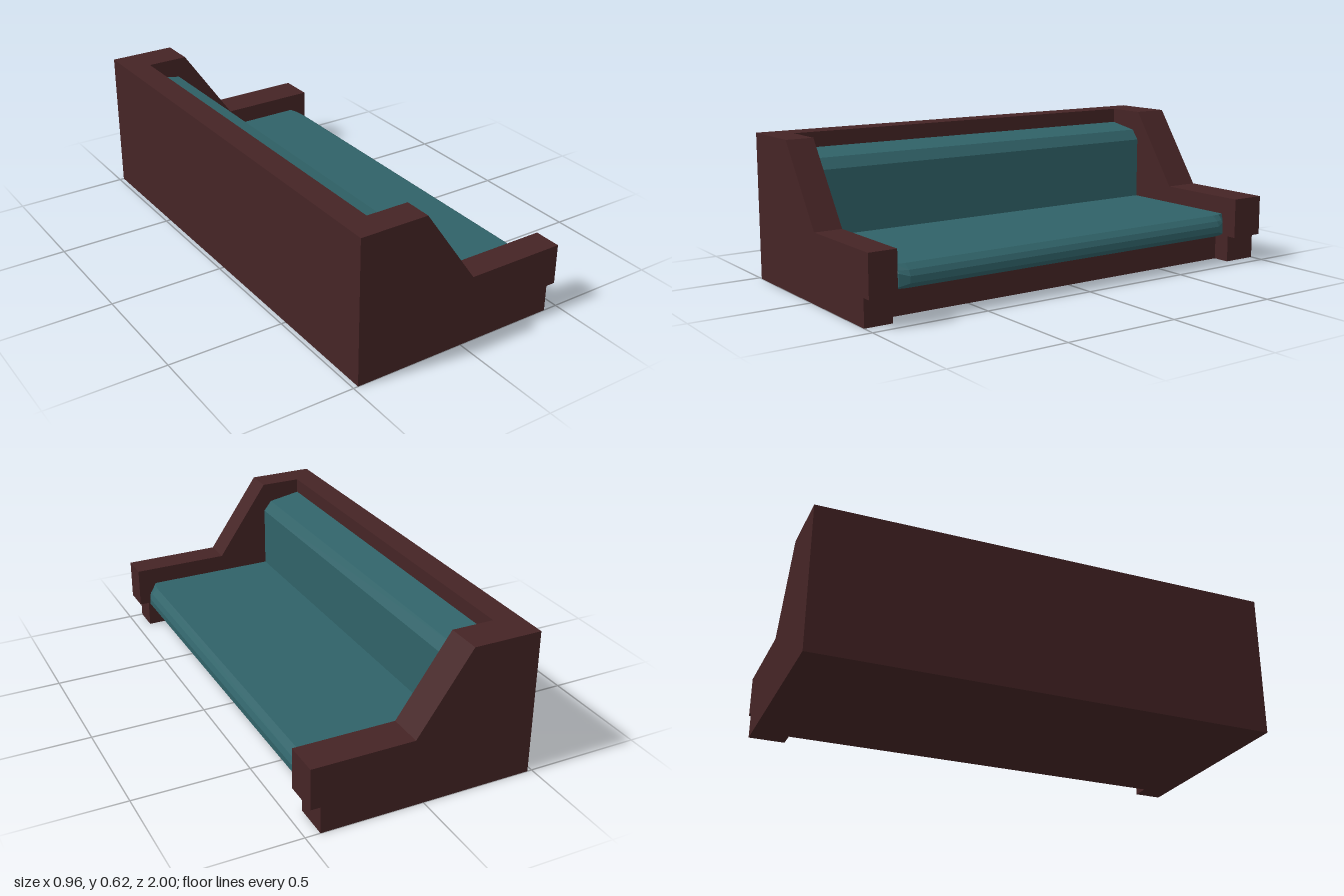
import * as THREE from 'three';

const Z_FRONT = 0.88, Z_BACK = -0.845; // inner faces of the two arms

// Extrude an x-y outline between two z positions
function slab(name, points, z0, z1, material) {
  const shape = new THREE.Shape(points.map(([x, y]) => new THREE.Vector2(x, y)));
  const geometry = new THREE.ExtrudeGeometry(shape, { depth: z1 - z0, bevelEnabled: false });
  geometry.translate(0, 0, z0);
  const mesh = new THREE.Mesh(geometry, material);
  mesh.name = name;
  return mesh;
}

const rect = (x0, x1, y0, y1) => [[x0, y0], [x1, y0], [x1, y1], [x0, y1]];

// Loft equal-length x-y sections along increasing z, faceted, with end caps
function loft(sections) {
  const pos = [];
  const tri = (...pts) => pts.forEach((p) => pos.push(...p));
  const n = sections[0].points.length;
  const at = (s, i) => [...sections[s].points[i % n], sections[s].z];
  for (let s = 0; s < sections.length - 1; s++) {
    for (let i = 0; i < n; i++) {
      const a = at(s, i), b = at(s, i + 1), c = at(s + 1, i + 1), d = at(s + 1, i);
      tri(a, b, c);
      tri(a, c, d);
    }
  }
  const last = sections.length - 1;
  for (let i = 1; i < n - 1; i++) {
    tri(at(0, 0), at(0, i + 1), at(0, i));
    tri(at(last, 0), at(last, i), at(last, i + 1));
  }
  const geometry = new THREE.BufferGeometry();
  geometry.setAttribute('position', new THREE.Float32BufferAttribute(pos, 3));
  geometry.computeVertexNormals();
  return geometry;
}

export function createModel() {
  const group = new THREE.Group();
  group.name = 'sofa';
  const frame = new THREE.MeshStandardMaterial({ color: 0x452425 });
  frame.name = 'dark brown frame';
  const fabric = new THREE.MeshStandardMaterial({ color: 0x306268 });
  fabric.name = 'teal fabric';

  // Stepped arms with a sloping top and a front overhang
  const arm = [
    [-0.48, 0], [0.437, 0], [0.437, 0.115], [0.478, 0.115],
    [0.478, 0.29], [0.045, 0.29], [-0.188, 0.625], [-0.48, 0.625],
  ];
  group.add(slab('frontArm', arm, Z_FRONT, 1, frame));
  group.add(slab('rearArm', arm, -1, Z_BACK, frame));

  // Back panel and base
  group.add(slab('backPanel', rect(-0.48, -0.37, 0, 0.625), Z_BACK, Z_FRONT, frame));
  group.add(slab('base', rect(-0.37, 0.36, 0, 0.12), Z_BACK, Z_FRONT, frame));

  // Back cushion with a bevelled top edge
  const back = [[-0.37, 0.12], [-0.19, 0.12], [-0.19, 0.49], [-0.225, 0.535], [-0.37, 0.56]];
  group.add(slab('backCushion', back, Z_BACK, Z_FRONT, fabric));

  // Seat cushion: rounded front edge that flattens towards both front corners
  const full = [[-0.19, 0.12], [0.42, 0.12], [0.45, 0.144], [0.45, 0.171], [0.438, 0.193], [0.41, 0.214], [-0.19, 0.214]];
  const end = [[-0.19, 0.12], [0.4, 0.12], [0.4, 0.122], [0.4, 0.191], [0.4, 0.193], [0.395, 0.214], [-0.19, 0.214]];
  const blend = (tx, ty) => end.map(([x, y], i) => [
    x + (full[i][0] - x) * tx, y + (full[i][1] - y) * ty,
  ]);
  const steps = [[0, 0, 0], [0.03, 0.65, 0.43], [0.07, 1, 1]];
  const sections = [
    ...steps.map(([d, tx, ty]) => ({ z: Z_BACK + d, points: blend(tx, ty) })),
    ...steps.toReversed().map(([d, tx, ty]) => ({ z: Z_FRONT - d, points: blend(tx, ty) })),
  ];
  const seat = new THREE.Mesh(loft(sections), fabric);
  seat.name = 'seatCushion';
  group.add(seat);

  return group;
}
